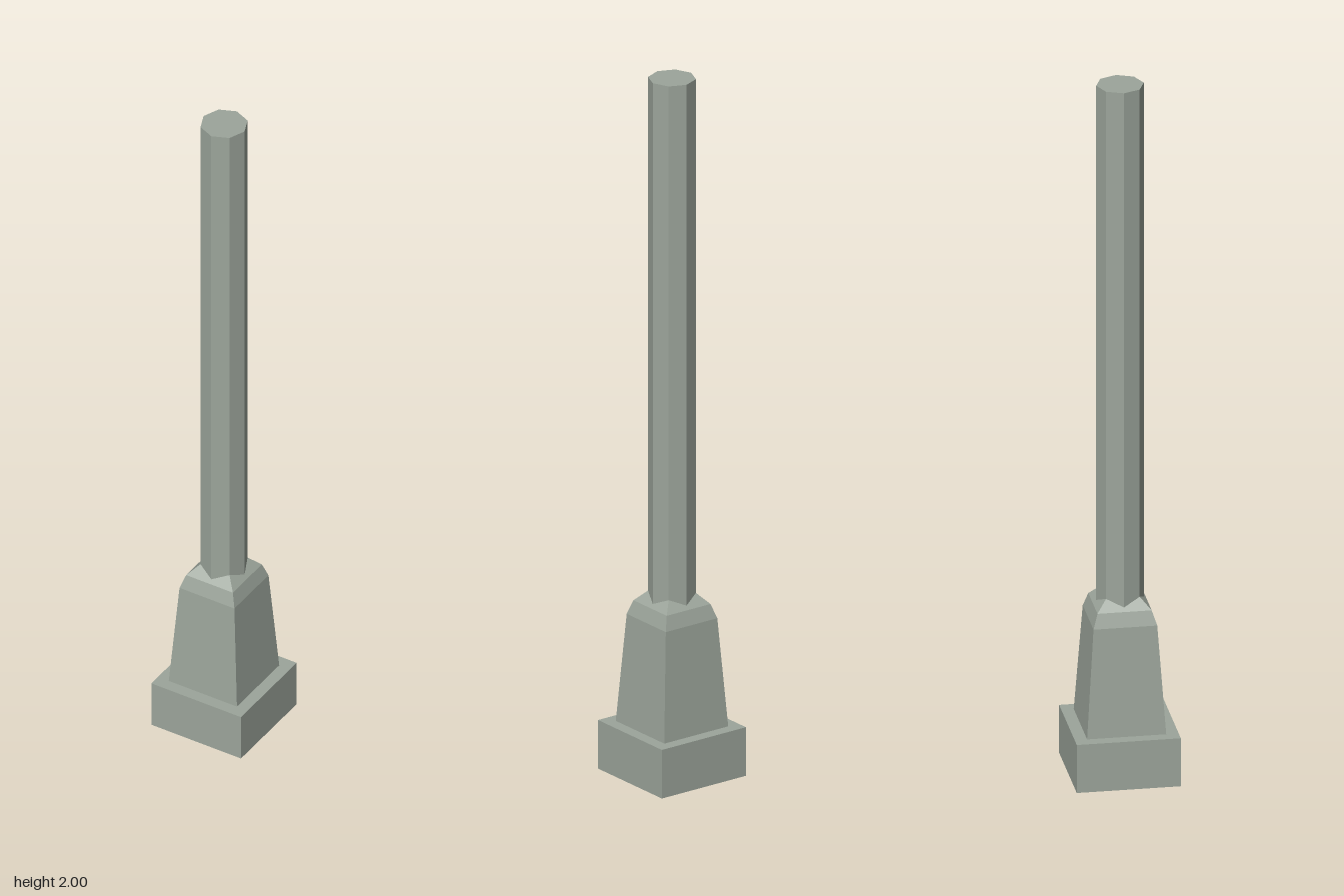
import * as THREE from 'three';

const paint = new THREE.MeshStandardMaterial({ color: 0x9ca59b, flatShading: true, side: THREE.DoubleSide });
paint.name = 'grey green paint';

// Square lathe: profile of [half width, height] pairs, sides facing x and z
function squareLathe(name, profile) {
  const points = profile.map(([half, y]) => new THREE.Vector2(half * Math.SQRT2, y));
  const geometry = new THREE.LatheGeometry(points, 4, Math.PI / 4);
  const mesh = new THREE.Mesh(geometry, paint);
  mesh.name = name;
  return mesh;
}

export function createModel() {
  const model = new THREE.Group();
  model.name = 'postOnPlinth';

  // Plinth: square block, open underneath
  model.add(squareLathe('plinth', [[0.142, 0], [0.142, 0.14], [0.1, 0.14]]));

  // Tapered pedestal with a rounded shoulder closing in on the pole
  model.add(squareLathe('pedestal', [
    [0, 0.01], [0.108, 0.01], [0.108, 0.14], [0.087, 0.45], [0.074, 0.49], [0.046, 0.52],
  ]));

  // Octagonal pole with its corners on the axes
  const bottom = 0.45, top = 2;
  const pole = new THREE.Mesh(new THREE.CylinderGeometry(0.065, 0.065, top - bottom, 8), paint);
  pole.position.y = (top + bottom) / 2;
  pole.name = 'pole';
  model.add(pole);

  return model;
}
